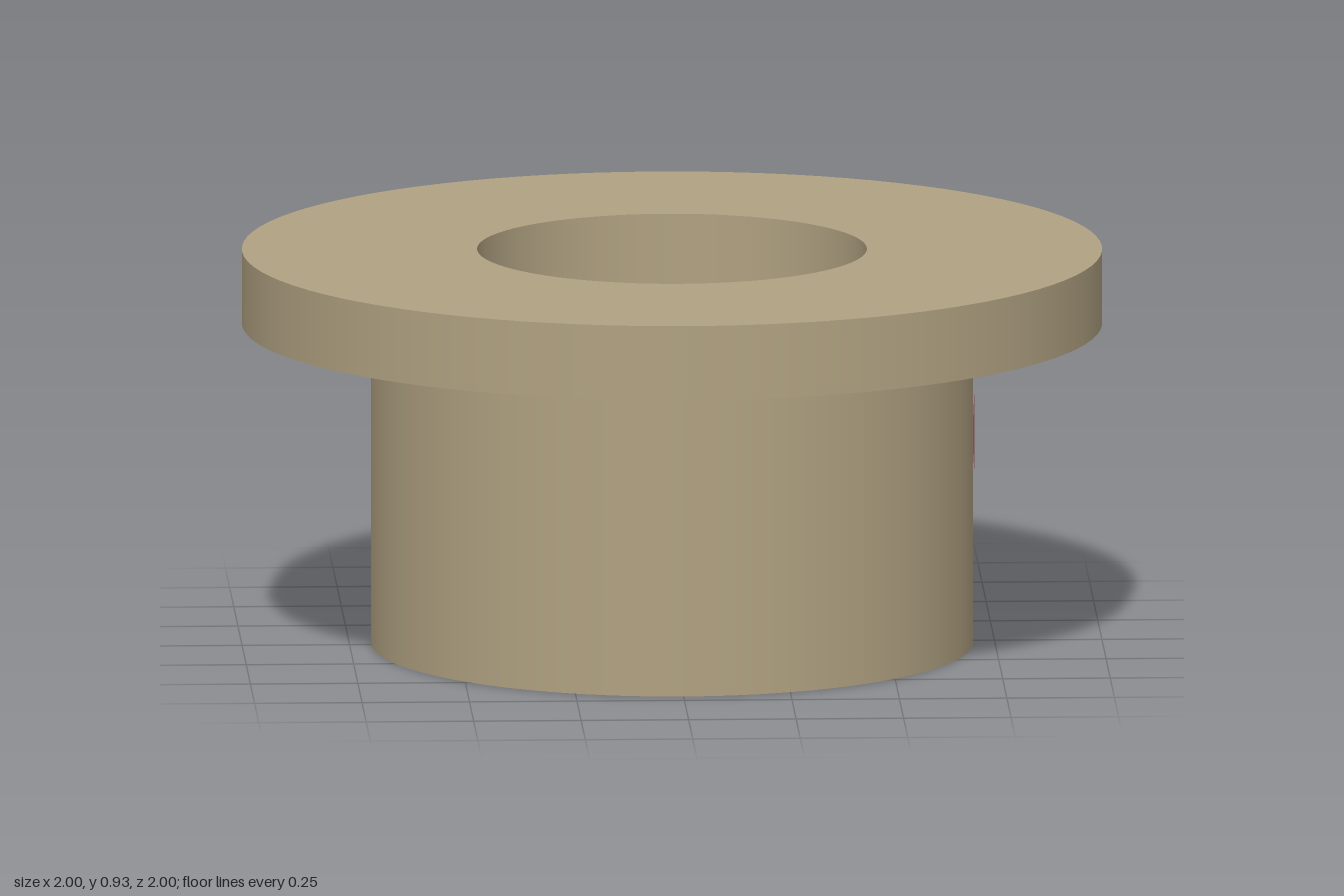
import * as THREE from 'three';
import { mergeGeometries } from 'three/addons/utils/BufferGeometryUtils.js';

const SEGMENTS = 96;
const BORE = 0.453, SLEEVE = 0.7, RIM = 1;
const SHOULDER = 0.755, TOP = 0.93;

// Revolves each profile edge on its own, so corners stay sharp and walls smooth
function revolve(...points) {
  const parts = [];
  for (let i = 0; i < points.length - 1; i++) {
    const edge = [points[i], points[i + 1]].map(([r, y]) => new THREE.Vector2(r, y));
    parts.push(new THREE.LatheGeometry(edge, SEGMENTS));
  }
  return mergeGeometries(parts);
}

// Slightly squared disc wrapped around the +x side of the sleeve
function wrappedSpot(radius, centreY, wallRadius) {
  const geometry = new THREE.RingGeometry(0.0001, radius, 48, 6);
  geometry.rotateY(Math.PI / 2);
  const p = geometry.attributes.position;
  for (let i = 0; i < p.count; i++) {
    const a = Math.atan2(p.getY(i), p.getZ(i));
    const k = Math.pow(Math.abs(Math.cos(a)) ** 2.3 + Math.abs(Math.sin(a)) ** 2.3, -1 / 2.3);
    const z = p.getZ(i) * k;
    p.setXYZ(i, Math.sqrt(wallRadius ** 2 - z * z), centreY + p.getY(i) * k, z);
  }
  geometry.computeVertexNormals();
  return geometry;
}

export function createModel() {
  const tan = new THREE.MeshStandardMaterial({ color: 0xb0a181 });
  tan.name = 'tan';
  const rose = new THREE.MeshStandardMaterial({ color: 0xc0737a });
  rose.name = 'rose';

  const group = new THREE.Group();
  group.name = 'flangedBushing';
  const add = (name, geometry, material) => {
    const mesh = new THREE.Mesh(geometry, material);
    mesh.name = name;
    group.add(mesh);
  };

  // Lower tube with its annular foot
  add('sleeve', revolve([BORE, 0], [SLEEVE, 0], [SLEEVE, SHOULDER]), tan);
  // Wide collar: underside, rim and top face
  add('flange', revolve([SLEEVE, SHOULDER], [RIM, SHOULDER], [RIM, TOP], [BORE, TOP]), tan);
  // Through hole, facing inward
  add('bore', revolve([BORE, TOP], [BORE, 0]), tan);
  // Coloured mark on the left side of the sleeve
  add('spot', wrappedSpot(0.098, 0.502, SLEEVE + 0.003), rose);

  return group;
}
